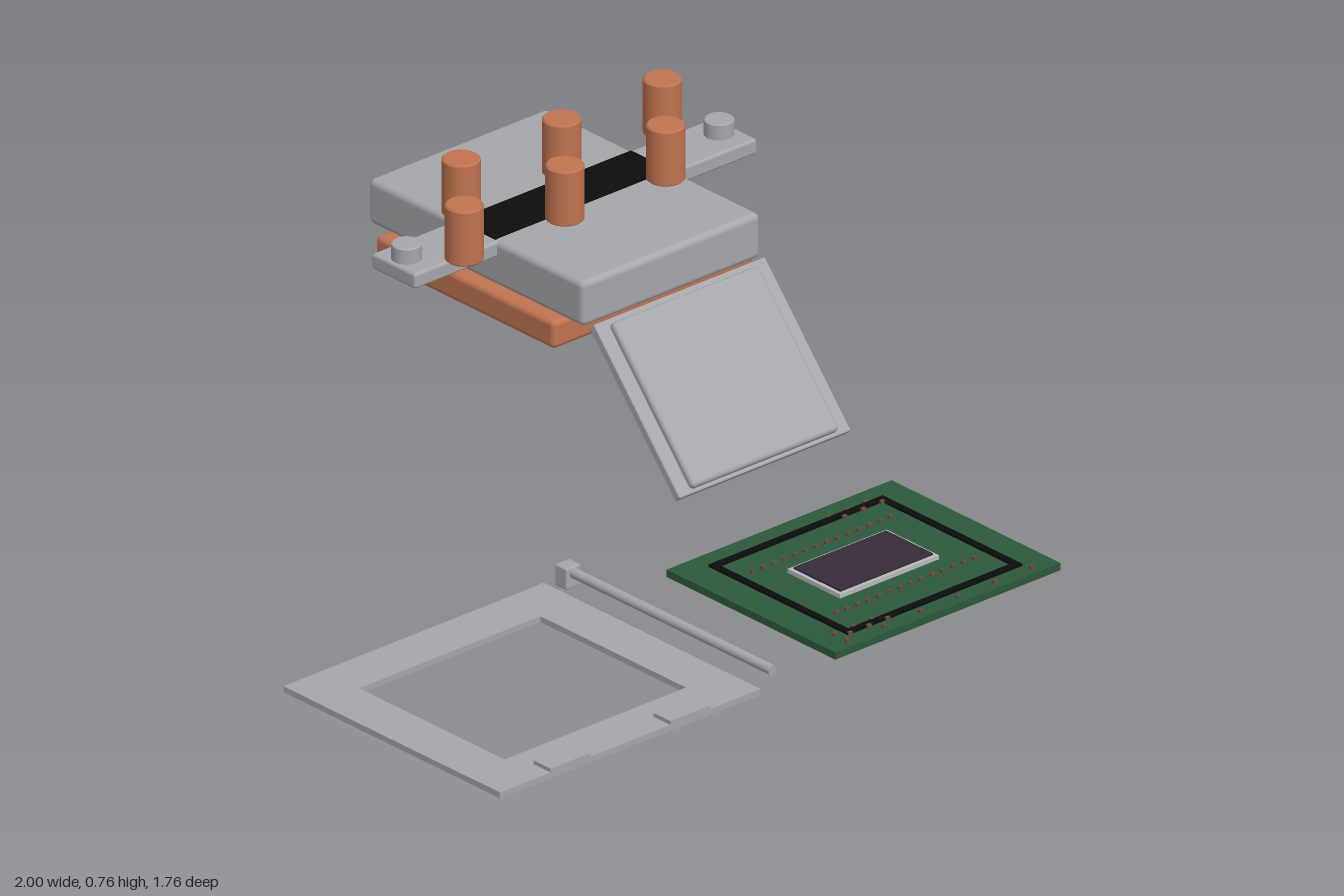
import * as THREE from 'three';
import { RoundedBoxGeometry } from 'three/addons/geometries/RoundedBoxGeometry.js';

const mat = (name, color) => {
  const m = new THREE.MeshStandardMaterial({ color });
  m.name = name;
  return m;
};

export function createModel() {
  const root = new THREE.Group();
  const steel = mat('steel', 0xa6a7ab);
  const paleSteel = mat('pale metal', 0xb8babd);
  const copper = mat('copper', 0xc0734f);
  const green = mat('circuit green', 0x2c5a3b);
  const black = mat('black', 0x0d0d0e);
  const dieColor = mat('dark silicon', 0x362c37);
  const gold = mat('contact gold', 0x9c7c42);
  const brown = mat('lid lining', 0x9c8062);
  const partColor = mat('component brown', 0x6e4a3c);

  const add = (name, geo, material, parent = root) => {
    const m = new THREE.Mesh(geo, material);
    m.name = name;
    parent.add(m);
    return m;
  };
  // Box given by its limits on each axis, with optional edge rounding
  const box = (name, material, x0, x1, y0, y1, z0, z1, r = 0, parent = root) => {
    const s = [x1 - x0, y1 - y0, z1 - z0];
    const geo = r ? new RoundedBoxGeometry(...s, 3, r) : new THREE.BoxGeometry(...s);
    const m = add(name, geo, material, parent);
    m.position.set((x0 + x1) / 2, (y0 + y1) / 2, (z0 + z1) / 2);
    return m;
  };
  // Upright cylinder with a small bevel on its rims
  const post = (name, material, x, z, r, y0, y1, b, parent = root) => {
    const h = y1 - y0;
    const pts = [[0, 0], [r - b, 0], [r - b, 0], [r, b], [r, b], [r, h - b], [r, h - b], [r - b, h], [r - b, h], [0, h]];
    const m = add(name, new THREE.LatheGeometry(pts.map(p => new THREE.Vector2(...p)), 32), material, parent);
    m.position.set(x, y0, z);
    return m;
  };
  const group = name => {
    const g = new THREE.Group();
    g.name = name;
    root.add(g);
    return g;
  };

  // Socket retention frame: four bars and two front tabs
  const frame = group('retentionFrame');
  for (const [z0, z1] of [[0.11, 0.238], [0.755, 0.88]])
    box('frameCrossBar', steel, -1, -0.167, 0, 0.016, z0, z1, 0, frame);
  for (const [x0, x1] of [[-1, -0.873], [-0.293, -0.167]])
    box('frameSideBar', steel, x0, x1, 0, 0.0155, 0.238, 0.755, 0, frame);
  for (const x of [-0.775, -0.392])
    box('frameTab', steel, x - 0.064, x + 0.064, 0.01, 0.026, 0.82, 0.88, 0, frame);

  // Locking lever: rod with a square block at its back end
  const lever = group('lockingLever');
  box('leverBlock', steel, -0.138, -0.092, 0.002, 0.059, 0.115, 0.158, 0.005, lever);
  const rod = add('leverRod', new THREE.CylinderGeometry(0.013, 0.013, 0.74, 20), steel, lever);
  rod.rotation.x = Math.PI / 2;
  rod.position.set(-0.115, 0.043, 0.495);

  // Chip board with gold underside
  const chip = group('chipBoard');
  box('board', green, 0.09, 0.81, 0.002, 0.021, 0.26, 0.86, 0, chip);
  box('contactPad', gold, 0.092, 0.808, 0, 0.003, 0.262, 0.858, 0, chip);

  // Black seal ring on the board
  for (const [z0, z1] of [[0.315, 0.334], [0.792, 0.811]])
    box('sealEnd', black, 0.174, 0.732, 0.02, 0.027, z0, z1, 0, chip);
  for (const [x0, x1] of [[0.174, 0.192], [0.714, 0.732]])
    box('sealSide', black, x0, x1, 0.02, 0.027, 0.334, 0.792, 0, chip);

  // Silicon die in its metal border
  box('dieBorder', paleSteel, 0.292, 0.608, 0.02, 0.032, 0.466, 0.652, 0, chip);
  box('die', dieColor, 0.302, 0.598, 0.03, 0.037, 0.476, 0.642, 0, chip);

  // Tiny components in rows and beside the ring corners
  const tiny = (x, z) => box('component', partColor, x - 0.006, x + 0.006, 0.02, 0.029, z - 0.004, z + 0.004, 0, chip);
  for (let i = 0; i < 14; i++) {
    tiny(0.23 + i * 0.034, 0.41);
    tiny(0.23 + i * 0.034, 0.708);
  }
  for (let i = 0; i < 6; i++) {
    tiny(0.15 + i * 0.118, 0.836);
    tiny(0.56 + i * 0.03, 0.312 + (i % 2) * 0.025);
    tiny(0.15 + i * 0.03, 0.79 + (i % 2) * 0.022);
  }

  // Tilted heat spreader lid (built flat, +y is its outer face)
  const lid = group('heatSpreader');
  lid.position.set(0.45, 0.337, 0.058);
  lid.rotation.x = 0.85;
  box('lidFlange', steel, -0.274, 0.274, -0.021, 0.002, -0.232, 0.232, 0.004, lid);
  box('lidPanel', steel, -0.235, 0.235, -0.015, 0.021, -0.218, 0.222, 0.012, lid);
  box('lidLining', brown, -0.235, 0.235, -0.024, -0.019, -0.2, 0.2, 0, lid);
  box('thermalPad', paleSteel, -0.13, 0.13, -0.027, -0.022, -0.085, 0.085, 0, lid);

  // Cooler base with copper cold plate
  const cooler = group('cooler');
  box('coolerBody', steel, 0.165, 0.735, 0.496, 0.615, -0.885, -0.12, 0.016, cooler);
  box('coldPlate', copper, 0.13, 0.77, 0.425, 0.498, -0.82, -0.185, 0.014, cooler);
  box('coldPlatePad', steel, 0.24, 0.66, 0.421, 0.427, -0.712, -0.292, 0, cooler);

  // Mounting bar, its screws and the black strip over the body
  box('mountingBar', steel, -0.098, 0.998, 0.573, 0.614, -0.58, -0.425, 0.008, cooler);
  box('topStrip', black, 0.169, 0.727, 0.611, 0.617, -0.574, -0.436, 0, cooler);
  for (const x of [-0.053, 0.947])
    post('mountingScrew', steel, x, -0.505, 0.037, 0.61, 0.655, 0.003, cooler);

  // Staggered copper heat pipes
  for (let i = 0; i < 6; i++)
    post('heatPipe', copper, 0.046 + i * 0.161, i % 2 ? -0.6 : -0.41, 0.047, 0.614, 0.76, 0.004, cooler);

  return root;
}
